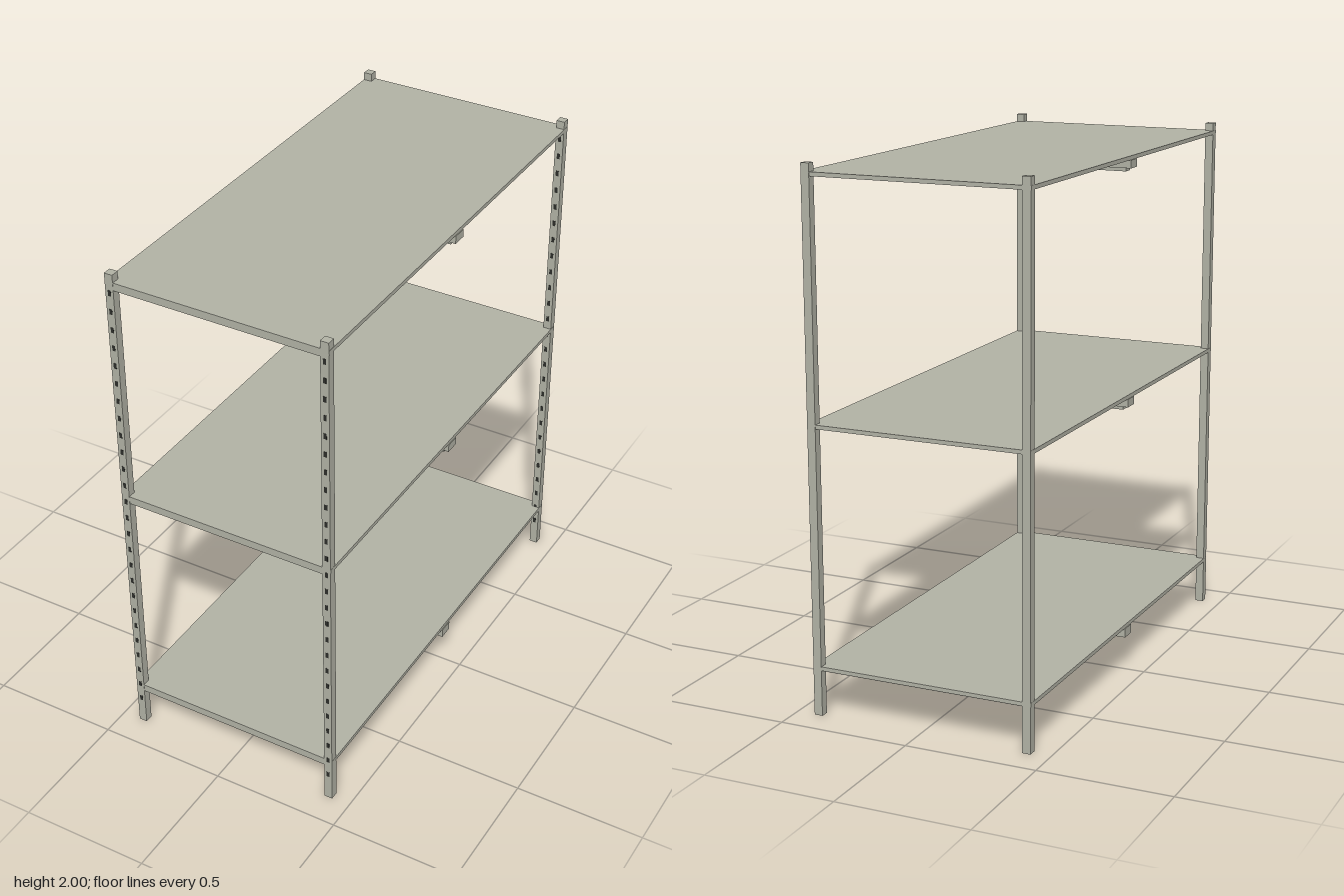
import * as THREE from 'three';

const metal = new THREE.MeshStandardMaterial({ color: 0xb1b2a5 });
metal.name = 'painted metal';
const dark = new THREE.MeshStandardMaterial({ color: 0x2c2d29 });
dark.name = 'dark slot';

// Box given by its lower and upper corner
function box(parent, name, min, max, material = metal) {
  const size = max.map((v, i) => v - min[i]);
  const mesh = new THREE.Mesh(new THREE.BoxGeometry(...size), material);
  mesh.position.set(...max.map((v, i) => (v + min[i]) / 2));
  mesh.name = name;
  parent.add(mesh);
  return mesh;
}

const X = 0.429, Z = 0.888, POST = 0.032;

// Upright with a column of slots on its front face
function createPost(sx, sz) {
  const post = new THREE.Group();
  post.name = (sz > 0 ? 'front' : 'back') + (sx > 0 ? 'Left' : 'Right') + 'Post';
  box(post, 'upright', [-POST / 2, 0, -POST / 2], [POST / 2, 2, POST / 2]);
  for (let i = 0; i < 26; i++) {
    const y = 0.116 + i * 0.0724;
    box(post, 'slot', [-0.006, y - 0.011, POST / 2 - 0.002], [0.006, y + 0.011, POST / 2 + 0.0005], dark);
  }
  post.position.set(sx * (X - POST / 2), 0, sz * (Z - POST / 2));
  return post;
}

// Shelf panel with a front lip and a cross support under its middle
function createShelf(top, name, hasRib) {
  const shelf = new THREE.Group();
  shelf.name = name;
  const under = top - 0.015;
  box(shelf, 'panel', [-X - 0.001, under, -Z + 0.001], [X + 0.001, top, Z - 0.001]);
  box(shelf, 'frontLip', [-X + POST, under - 0.015, Z - 0.016], [X - POST, under, Z - 0.001]);
  const bottom = top - (hasRib ? 0.045 : 0.05);
  box(shelf, 'crossSupport', [-0.433, bottom, -0.029], [0.433, under, 0.029]);
  if (hasRib) box(shelf, 'supportRib', [-0.41, top - 0.058, -0.02], [0.41, bottom, 0.02]);
  return shelf;
}

export function createModel() {
  const rack = new THREE.Group();
  rack.name = 'shelfRack';
  for (const sx of [-1, 1]) for (const sz of [-1, 1]) rack.add(createPost(sx, sz));
  rack.add(createShelf(0.188, 'bottomShelf', false));
  rack.add(createShelf(1.085, 'middleShelf', true));
  rack.add(createShelf(1.97, 'topShelf', true));
  return rack;
}
